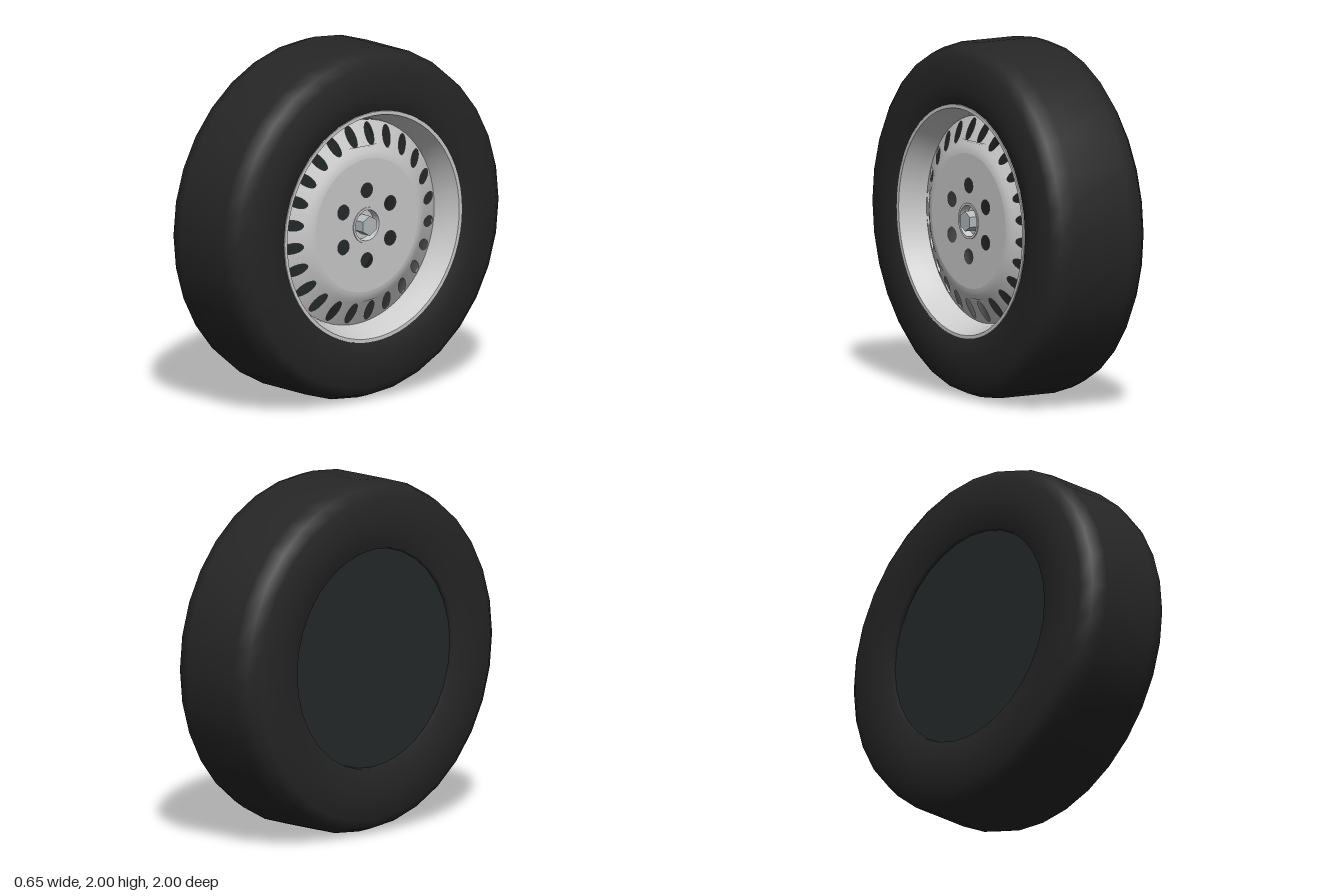
import * as THREE from 'three';
import { toCreasedNormals } from 'three/addons/utils/BufferGeometryUtils.js';

const mat = (color) => new THREE.MeshStandardMaterial({ color, side: THREE.DoubleSide });
const rubber = mat(0x262626);
const metal = mat(0xcccccc);
const backing = mat(0x262a2a);
const steel = mat(0xb4bcbe);

function add(group, name, geometry, material) {
  const mesh = new THREE.Mesh(geometry, material);
  mesh.name = name;
  group.add(mesh);
  return mesh;
}

// Turned part around the x axle; profile points are [radius, x].
function turned(profile, segments, crease) {
  const g = new THREE.LatheGeometry(profile.map(([r, x]) => new THREE.Vector2(r, x)), segments);
  g.rotateZ(-Math.PI / 2);
  return crease ? toCreasedNormals(g, crease) : g;
}

// Circular plate facing +x, pierced by ovals spaced evenly around the axle.
function piercedPlate(outer, inner, count, at, rLong, rShort, start) {
  const shape = new THREE.Shape();
  shape.absarc(0, 0, outer, 0, Math.PI * 2, false);
  const centre = new THREE.Path();
  centre.absarc(0, 0, inner, 0, Math.PI * 2, true);
  shape.holes.push(centre);
  for (let i = 0; i < count; i++) {
    const a = start + (i / count) * Math.PI * 2;
    const hole = new THREE.Path();
    hole.absellipse(at * Math.cos(a), at * Math.sin(a), rLong, rShort, 0, Math.PI * 2, true, a);
    shape.holes.push(hole);
  }
  return new THREE.ShapeGeometry(shape, 32).rotateY(Math.PI / 2);
}

// Pull a flat plate into a cone from (r0, x0) to (r1, x1).
function cone(g, r0, x0, r1, x1) {
  const p = g.attributes.position, n = g.attributes.normal;
  const slope = (x1 - x0) / (r1 - r0);
  const len = Math.hypot(1, slope);
  for (let i = 0; i < p.count; i++) {
    const y = p.getY(i), z = p.getZ(i), r = Math.hypot(y, z);
    p.setX(i, x0 + (r - r0) * slope);
    n.setXYZ(i, 1 / len, (-slope * y) / r / len, (-slope * z) / r / len);
  }
  return g;
}

export function createModel() {
  const wheel = new THREE.Group();
  wheel.name = 'wheel';

  // Tyre
  add(wheel, 'tyre', turned([
    [0.62, -0.28], [0.625, -0.31], [0.77, -0.325], [0.915, -0.31], [0.972, -0.265], [1, -0.18],
    [1, 0.18], [0.972, 0.265], [0.915, 0.31], [0.77, 0.325], [0.66, 0.31], [0.65, 0.28],
  ], 32), rubber);

  // Closed inner side
  add(wheel, 'backPlate', new THREE.CircleGeometry(0.623, 64).rotateY(-Math.PI / 2).translate(-0.28, 0, 0), backing);

  // Rim lip and tapered barrel
  add(wheel, 'rim', turned([
    [0.66, 0.295], [0.657, 0.315], [0.637, 0.315], [0.63, 0.298], [0.61, 0.25], [0.592, 0.2], [0.58, 0.15],
  ], 64, 0.5), metal);

  // Wheel disc: flat centre with bolt holes, rounded shoulder, sloped vented band
  const disc = new THREE.Group();
  disc.name = 'wheelDisc';
  wheel.add(disc);
  add(disc, 'discCentre', piercedPlate(0.38, 0.1, 6, 0.2, 0.042, 0.042, Math.PI / 2).translate(0.26, 0, 0), metal);
  add(disc, 'discShoulder', turned([[0.44, 0.24], [0.42, 0.25], [0.4, 0.257], [0.38, 0.26]], 64), metal);
  add(disc, 'ventedBand', cone(piercedPlate(0.583, 0.44, 24, 0.51, 0.06, 0.03, Math.PI / 24), 0.44, 0.24, 0.583, 0.165), metal);

  // Hub socket and hexagonal nut
  add(wheel, 'hubSocket', turned([
    [0.102, 0.255], [0.102, 0.265], [0.088, 0.265], [0.085, 0.215], [0, 0.215],
  ], 32, 0.5), metal);
  const nut = toCreasedNormals(new THREE.CylinderGeometry(0.057, 0.057, 0.075, 6, 1, false, Math.PI / 6), 0.5);
  add(wheel, 'hubNut', nut.rotateZ(-Math.PI / 2).translate(0.2475, 0, 0), steel);

  wheel.position.y = 1;
  const model = new THREE.Group();
  model.add(wheel);
  return model;
}
